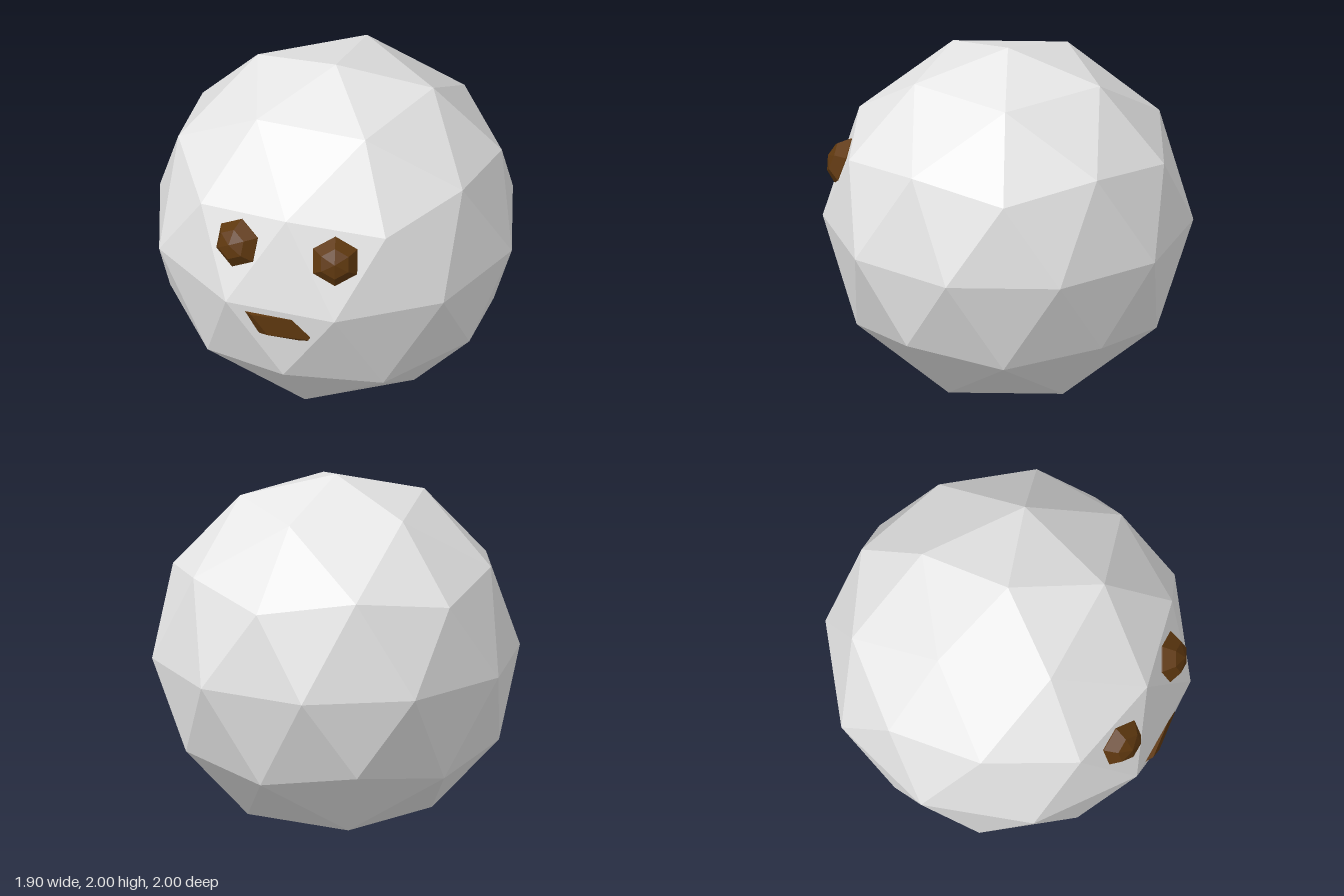
import * as THREE from 'three';
import { ConvexGeometry } from 'three/addons/geometries/ConvexGeometry.js';

export function createModel() {
  const model = new THREE.Group();
  const paleGrey = new THREE.MeshStandardMaterial({ color: 0xe7e7e7, flatShading: true });
  const brown = new THREE.MeshStandardMaterial({ color: 0x5f380f, flatShading: true });
  paleGrey.name = 'paleGrey';
  brown.name = 'brown';

  function add(name, geometry, material) {
    const mesh = new THREE.Mesh(geometry, material);
    mesh.name = name;
    model.add(mesh);
    return mesh;
  }

  // Faceted ball, turned so that one corner points straight up
  const golden = (1 + Math.sqrt(5)) / 2;
  const ball = new THREE.IcosahedronGeometry(1, 1);
  ball.rotateZ(-Math.atan(1 / golden));
  ball.translate(0, 1, 0);
  ball.computeVertexNormals();
  add('ball', ball, paleGrey);

  // Six-sided dome eyes, each centred on one facet of the ball
  const v = (x, y, z) => new THREE.Vector3(x, y, z);
  const brow = v(-0.263, 1.526, 0.809);
  const eyeFacets = {
    leftEye: [v(0, 1, 1), v(0.276, 1.447, 0.851), brow],
    rightEye: [v(-0.588, 1, 0.809), brow, v(-0.724, 1.447, 0.526)],
  };
  const domeProfile = [[0.138, -0.015], [0.138, 0.005], [0.085, 0.065], [0, 0.09]]
    .map(([r, h]) => new THREE.Vector2(r, h));
  for (const [name, corners] of Object.entries(eyeFacets)) {
    const facet = new THREE.Triangle(...corners);
    const normal = facet.getNormal(v(0, 0, 0));
    const up = v(0, 1, 0).projectOnPlane(normal).normalize();
    const side = normal.clone().cross(up);
    const eye = add(name, new THREE.LatheGeometry(domeProfile, 6), brown);
    eye.quaternion.setFromRotationMatrix(new THREE.Matrix4().makeBasis(side, normal, up));
    facet.getMidpoint(eye.position);
  }

  // Mouth: a tapered slab, tilted so its upper corner sinks into the facet
  const facetZ = (x, y) => 1 + 0.325 * x + 0.133 * (y - 1);
  const front = [[-0.45, 0.96], [-0.09, 0.96], [-0.14, 0.84], [-0.36, 0.84]]
    .map(([x, y]) => v(x, y, facetZ(x, y) + 0.12 * (0.73 - x - y)));
  const back = [[-0.508, 0.96, -0.02], [-0.07, 0.96, -0.03], [-0.153, 0.82, -0.005], [-0.413, 0.82, -0.005]]
    .map(([x, y, d]) => v(x, y, facetZ(x, y) + d));
  add('mouth', new ConvexGeometry([...front, ...back]), brown);

  return model;
}
